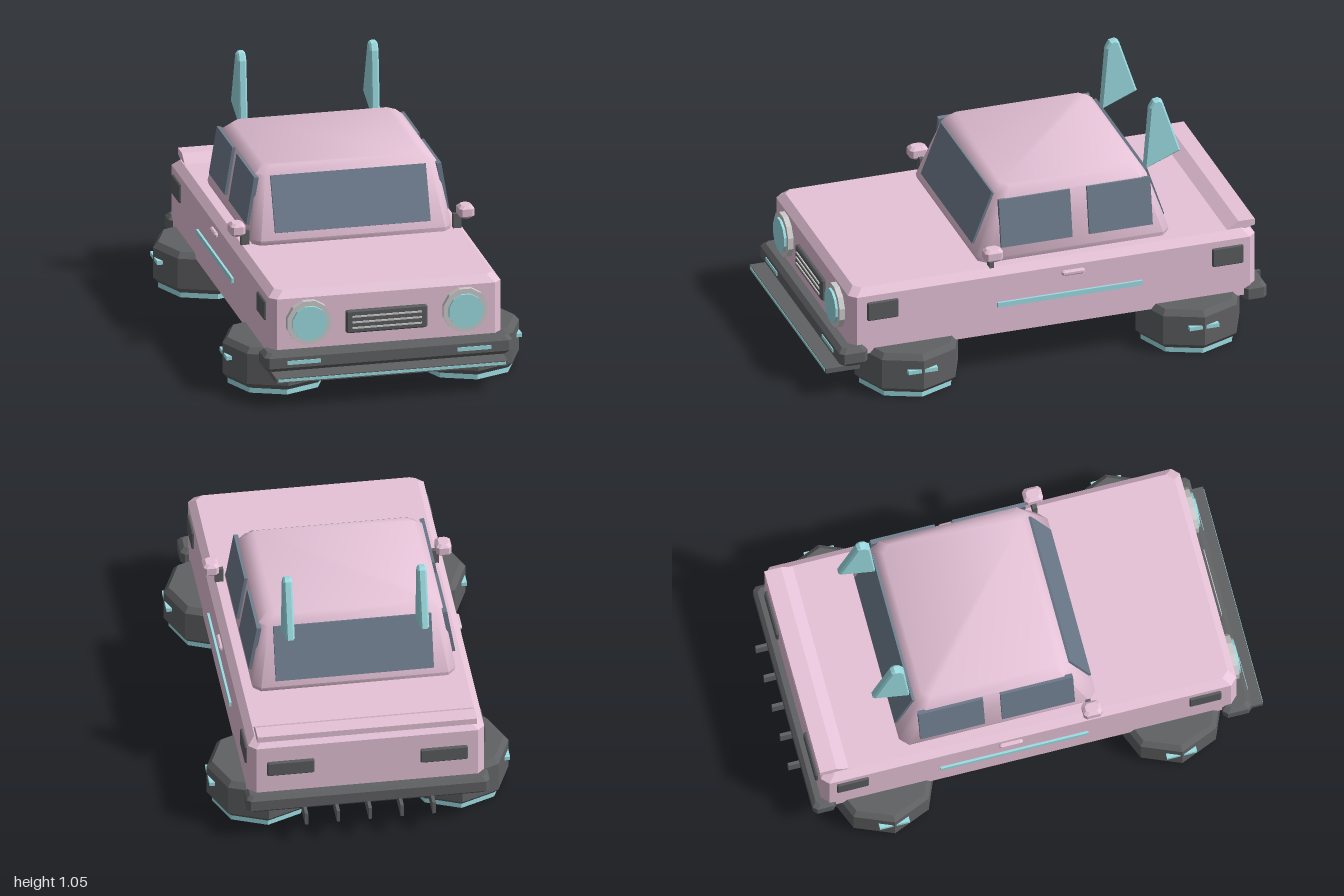
import * as THREE from 'three';
import { toCreasedNormals } from 'three/addons/utils/BufferGeometryUtils.js';

const mat = (color) => new THREE.MeshStandardMaterial({ color, flatShading: true });

export function createModel() {
  const car = new THREE.Group();
  const pink = mat(0xe6c3d8), dark = mat(0x606163), cyan = mat(0x9cdde3);
  const glass = mat(0x6f7d8e), trim = mat(0xcccccc), lamp = mat(0x5a5c5e);
  const softPink = new THREE.MeshStandardMaterial({ color: 0xe6c3d8 });

  const add = (name, geo, material, x = 0, y = 0, z = 0) => {
    const m = new THREE.Mesh(geo, material);
    m.name = name;
    m.position.set(x, y, z);
    car.add(m);
    return m;
  };
  const box = (name, material, w, h, d, x, y, z) =>
    add(name, new THREE.BoxGeometry(w, h, d), material, x, y, z);

  // Closed hull through level rings [y, halfWidth, zBack, zFront, cornerCut]
  const loft = (rings) => {
    const pos = [], idx = [];
    for (const [y, x, z0, z1, c] of rings) {
      const ring = [[x - c, z1], [x, z1 - c], [x, z0 + c], [x - c, z0],
        [c - x, z0], [-x, z0 + c], [-x, z1 - c], [c - x, z1]];
      for (const [px, pz] of ring) pos.push(px, y, pz);
    }
    const top = (rings.length - 1) * 8;
    for (let r = 0; r < top; r += 8) {
      for (let i = 0; i < 8; i++) {
        const a = r + i, b = r + (i + 1) % 8;
        idx.push(a, b, b + 8, a, b + 8, a + 8);
      }
    }
    for (let i = 1; i < 7; i++) idx.push(top, top + i, top + i + 1, 0, i + 1, i);
    const g = new THREE.BufferGeometry();
    g.setAttribute('position', new THREE.Float32BufferAttribute(pos, 3));
    g.setIndex(idx);
    const flat = g.toNonIndexed();
    flat.computeVertexNormals();
    return flat;
  };

  // Box with all edges chamfered by b
  const bevelBox = (w, h, d, b) => {
    const x = w / 2, y = h / 2, z = d / 2;
    return loft([[-y, x - b, b - z, z - b, b], [b - y, x, -z, z, b],
      [y - b, x, -z, z, b], [y, x - b, b - z, z - b, b]]);
  };

  // Outline in (z, y) given a width along x
  const sideProfile = (points, width, bevel = 0) => {
    const shape = new THREE.Shape(points.map(([z, y]) => new THREE.Vector2(-z, y)));
    const g = new THREE.ExtrudeGeometry(shape, {
      depth: width - 2 * bevel, bevelEnabled: bevel > 0, bevelSize: bevel,
      bevelThickness: bevel, bevelOffset: -bevel, bevelSegments: 1,
    });
    return g.translate(0, 0, bevel - width / 2).rotateY(Math.PI / 2);
  };

  // Body shell and cabin
  add('body', loft([[0.18, 0.5, -0.91, 0.89, 0.03], [0.45, 0.5, -0.91, 0.89, 0.03],
    [0.48, 0.47, -0.88, 0.86, 0.03]]), pink);
  const cabin = loft([[0.475, 0.425, -0.545, 0.29, 0.03], [0.5, 0.432, -0.553, 0.298, 0.035],
    [0.755, 0.39, -0.468, 0.198, 0.035], [0.79, 0.35, -0.435, 0.165, 0.03]]);
  add('cabin', toCreasedNormals(cabin, 0.9), softPink);

  // Windows lie on the sloping cabin faces
  const slab = (name, w, len, z, y, tilt) => {
    box(name, glass, w, len, 0.02, 0, y, z).rotation.x = tilt;
  };
  slab('windshield', 0.67, 0.243, 0.243, 0.642, -0.373);
  slab('rearWindow', 0.67, 0.24, -0.508, 0.642, 0.322);
  for (const s of [1, -1]) {
    for (const [z0, z1] of [[-0.115, 0.2], [-0.47, -0.19]]) {
      const w = box('sideWindow', glass, 0.02, 0.21, z1 - z0, s * 0.411, 0.648, (z0 + z1) / 2);
      w.rotation.z = s * 0.165;
    }
  }

  // Rear deck spoiler
  add('spoiler', sideProfile([[-0.78, 0.475], [-0.84, 0.512], [-0.912, 0.512], [-0.912, 0.485],
    [-0.87, 0.475]], 0.93), pink);

  // Bumpers, front splitter and rear diffuser
  add('frontBumper', bevelBox(1.07, 0.082, 0.125, 0.018), dark, 0, 0.185, 0.882);
  add('rearBumper', bevelBox(1.03, 0.08, 0.1, 0.016), dark, 0, 0.185, -0.902);
  box('splitter', dark, 1, 0.022, 0.15, 0, 0.126, 0.923);
  box('splitterStrip', cyan, 0.98, 0.012, 0.006, 0, 0.127, 0.997);
  for (let i = -2; i <= 2; i++) {
    box('diffuserFin', dark, 0.014, 0.056, 0.15, i * 0.135, 0.132, -0.925);
  }

  // Grille with bars
  add('grille', bevelBox(0.35, 0.1, 0.03, 0.006), lamp, 0, 0.33, 0.892);
  for (const y of [0.304, 0.329, 0.354]) {
    box('grilleBar', trim, 0.3, 0.007, 0.008, 0, y, 0.908);
  }

  const wheelProfile = [[0, 0.022], [0.208, 0.022], [0.23, 0.045], [0.23, 0.178],
    [0.208, 0.202], [0, 0.202]].map(([r, y]) => new THREE.Vector2(r, y));
  const fin = [[-0.48, 0.735], [-0.64, 0.8], [-0.56, 1.045], [-0.545, 1.055],
    [-0.52, 1.05], [-0.503, 1.02]];
  const disc = (r, h) => new THREE.CylinderGeometry(r, r, h, 12).rotateY(Math.PI / 12)
    .rotateX(Math.PI / 2);

  for (const s of [1, -1]) {
    // Hover wheels with glowing undersides
    for (const z of [0.612, -0.632]) {
      add('wheel', new THREE.LatheGeometry(wheelProfile, 8), dark, s * 0.41, 0, z);
      add('wheelGlow', new THREE.CylinderGeometry(0.208, 0.208, 0.024, 8), cyan, s * 0.41, 0.012, z);
      box('wheelLight', cyan, 0.026, 0.017, 0.13, s * 0.624, 0.13, z);
    }
    // Headlights and lamps
    add('headlightRing', disc(0.098, 0.04), trim, s * 0.337, 0.345, 0.894);
    add('headlight', disc(0.076, 0.04), cyan, s * 0.337, 0.345, 0.905);
    box('bumperLight', cyan, 0.145, 0.017, 0.01, s * 0.367, 0.185, 0.943);
    add('tailLight', bevelBox(0.2, 0.068, 0.025, 0.005), lamp, s * 0.325, 0.345, -0.91);
    // Side details
    for (const z of [0.747, -0.78]) {
      add('sideMarker', bevelBox(0.02, 0.085, 0.137, 0.004), lamp, s * 0.5, 0.378, z);
    }
    box('sideStrip', cyan, 0.018, 0.022, 0.64, s * 0.501, 0.316, -0.08);
    add('doorHandle', bevelBox(0.024, 0.022, 0.1, 0.006), pink, s * 0.503, 0.417, -0.095);
    // Mirrors
    box('mirrorStem', dark, 0.035, 0.065, 0.02, s * 0.457, 0.51, 0.255);
    add('mirror', bevelBox(0.065, 0.056, 0.08, 0.012), pink, s * 0.493, 0.554, 0.258);
    // Tail fins
    add('fin', sideProfile(fin, 0.038, 0.008), cyan, s * 0.285, 0, 0);
  }
  return car;
}
